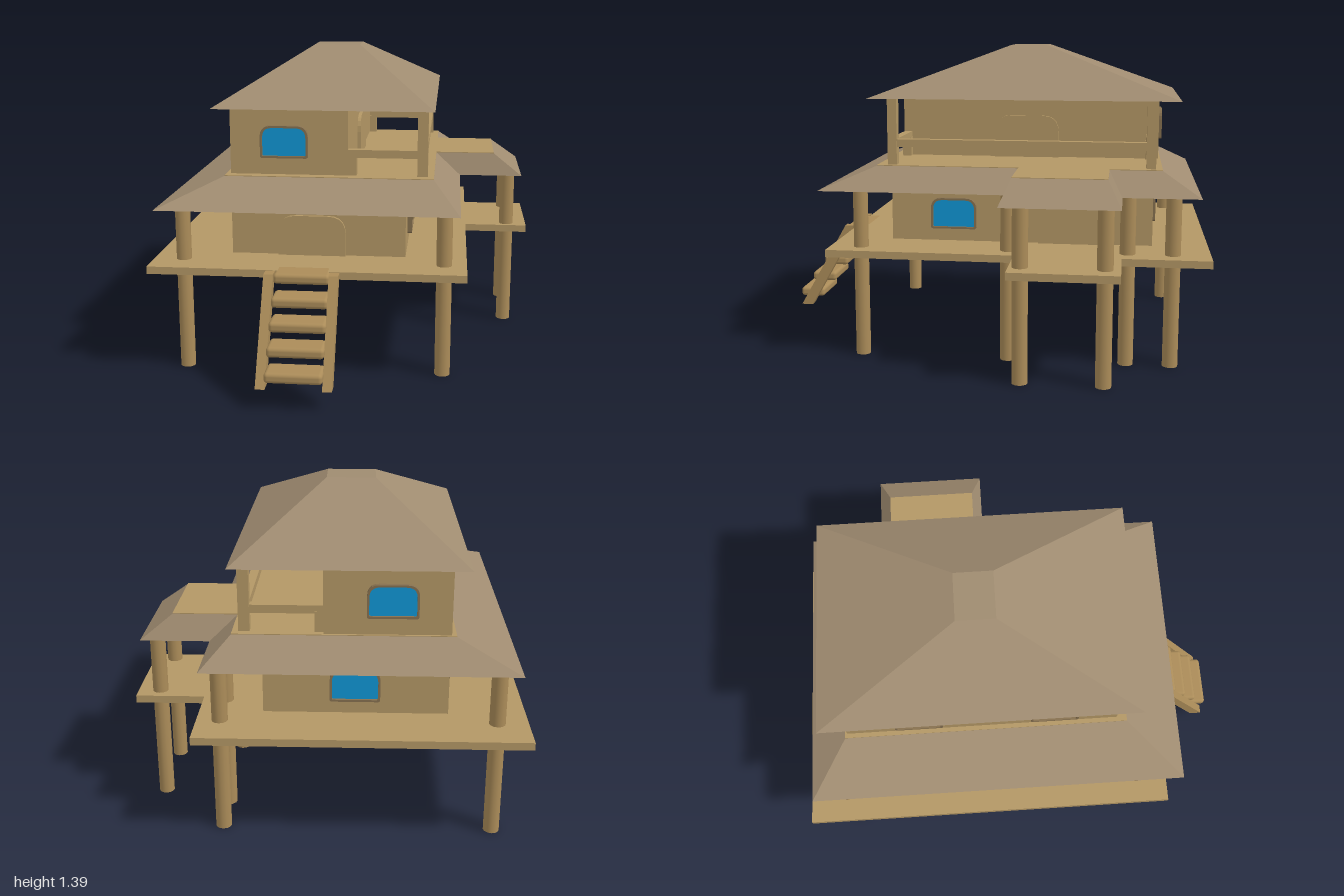
import * as THREE from 'three';
import { RoundedBoxGeometry } from 'three/addons/geometries/RoundedBoxGeometry.js';

const mat = (name, color, extra = {}) => {
  const m = new THREE.MeshStandardMaterial({ color, ...extra });
  m.name = name;
  return m;
};

export function createModel() {
  const wood = mat('wallWood', 0xb39765);
  const log = mat('logWood', 0xab8c59);
  const thatch = mat('roofThatch', 0x9f8b70, { flatShading: true });
  const trim = mat('windowTrim', 0x86704f);
  const glass = mat('windowGlass', 0x1095d4);

  const model = new THREE.Group();
  model.name = 'stiltHouse';

  const add = (name, geometry, material, parent = model) => {
    const m = new THREE.Mesh(geometry, material);
    m.name = name;
    parent.add(m);
    return m;
  };
  // Box from its limits on each axis
  const box = (name, x0, x1, y0, y1, z0, z1, material = wood) => {
    const m = add(name, new THREE.BoxGeometry(x1 - x0, y1 - y0, z1 - z0), material);
    m.position.set((x0 + x1) / 2, (y0 + y1) / 2, (z0 + z1) / 2);
    return m;
  };

  // Hipped roof: lower rectangle rising to a smaller upper one, [x0, x1, z0, z1]
  const hipRoof = (name, low, y0, high, y1) => {
    const ring = ([x0, x1, z0, z1], y) => [[x0, y, z1], [x1, y, z1], [x1, y, z0], [x0, y, z0]];
    const a = ring(low, y0), b = ring(high, y1), pos = [];
    const quad = (p, q, r, s) => [p, q, r, p, r, s].forEach(v => pos.push(...v));
    for (let i = 0; i < 4; i++) {
      const j = (i + 1) % 4;
      quad(a[i], a[j], b[j], b[i]);
    }
    quad(...b);
    quad(a[3], a[2], a[1], a[0]);
    const g = new THREE.BufferGeometry();
    g.setAttribute('position', new THREE.Float32BufferAttribute(pos, 3));
    g.computeVertexNormals();
    return add(name, g, thatch);
  };

  // Outline with rounded upper corners, base centred on the origin
  const archShape = (w, h, r, rb, C = THREE.Shape) => {
    const s = new C(), x = w / 2;
    s.moveTo(-x + rb, 0);
    s.lineTo(x - rb, 0);
    s.quadraticCurveTo(x, 0, x, rb);
    s.lineTo(x, h - r);
    s.quadraticCurveTo(x, h, x - r, h);
    s.lineTo(-x + r, h);
    s.quadraticCurveTo(-x, h, -x, h - r);
    s.lineTo(-x, rb);
    s.quadraticCurveTo(-x, 0, -x + rb, 0);
    return s;
  };
  const extrude = (shape, depth) =>
    new THREE.ExtrudeGeometry(shape, { depth, bevelEnabled: false, curveSegments: 5 });

  // Framed window; turn is the wall's heading about y
  const addWindow = (name, x, y, z, turn) => {
    const g = new THREE.Group();
    g.name = name;
    g.position.set(x, y, z);
    g.rotation.y = turn;
    const outer = archShape(0.21, 0.142, 0.05, 0.01);
    const hole = archShape(0.192, 0.124, 0.044, 0.006, THREE.Path);
    outer.holes.push(new THREE.Path(hole.getPoints(5).map(p => p.setY(p.y + 0.009))));
    add('windowFrame', extrude(outer, 0.02), trim, g);
    add('windowPane', extrude(archShape(0.196, 0.128, 0.044, 0.006), 0.009), glass, g)
      .position.y = 0.007;
    model.add(g);
  };
  const addDoor = (name, w, h, x, y, z, turn) => {
    const d = add(name, extrude(archShape(w, h, 0.08, 0.001), 0.015), wood);
    d.position.set(x, y, z);
    d.rotation.y = turn;
  };
  const RIGHT = Math.PI / 2, LEFT = -Math.PI / 2, BACK = Math.PI;

  // Deck and side landing
  box('deck', -0.835, 0.535, 0.467, 0.5, -1, 0.69);
  box('sideLanding', 0.535, 0.833, 0.467, 0.5, -0.615, -0.15);

  // Stilts
  const stilts = [[-0.705, 0.55], [0.437, 0.55], [0.437, -0.115], [0.737, -0.2],
    [0.737, -0.55], [0.437, -0.64], [0.437, -0.835], [-0.705, -0.835]];
  for (const [x, z] of stilts)
    add('stilt', new THREE.CylinderGeometry(0.034, 0.034, 0.77, 12), log).position.set(x, 0.385, z);

  // Ground storey
  box('lowerWalls', -0.51, 0.265, 0.5, 0.85, -0.75, 0.445);
  addDoor('frontDoor', 0.3, 0.18, -0.15, 0.5, 0.445, 0);
  addDoor('sideDoor', 0.3, 0.18, 0.265, 0.5, -0.385, RIGHT);
  addWindow('lowerRightWindow', 0.265, 0.558, 0.155, RIGHT);
  addWindow('lowerBackWindow', -0.12, 0.558, -0.75, BACK);

  // Lower roof with the landing's wing
  hipRoof('lowerRoof', [-0.785, 0.502, -0.95, 0.73], 0.758, [-0.53, 0.385, -0.785, 0.485], 0.86);
  hipRoof('landingRoof', [0.38, 0.8, -0.613, -0.113], 0.758, [0.38, 0.665, -0.555, -0.155], 0.86);
  box('balconyFloor', -0.53, 0.385, 0.857, 0.863, -0.785, 0.485);
  box('landingRoofTop', 0.385, 0.665, 0.857, 0.863, -0.555, -0.155);

  // Upper storey
  box('upperWalls', -0.51, 0.01, 0.86, 1.165, -0.775, 0.44);
  addDoor('balconyDoor', 0.305, 0.197, 0.01, 0.863, -0.155, RIGHT);
  addWindow('upperFrontWindow', -0.27, 0.938, 0.44, 0);
  addWindow('upperBackWindow', -0.27, 0.938, -0.775, BACK);
  for (const z of [-0.445, 0.155]) {
    addWindow('upperLeftWindow', -0.51, 0.938, z, LEFT);
    addWindow('lowerLeftWindow', -0.51, 0.558, z, LEFT);
  }

  // Balcony posts and rails
  for (const z of [0.42, -0.735]) {
    box('balconyPost', 0.312, 0.358, 0.86, 1.165, z - 0.021, z + 0.021);
    box('balconyEndRail', 0.01, 0.312, 0.942, 0.977, z - 0.018, z + 0.018);
    box('shortPost', 0.01, 0.047, 0.86, 0.95, z - 0.02, z + 0.02);
  }
  box('balconySideRail', 0.316, 0.354, 0.942, 0.977, -0.714, 0.4);

  // Upper roof
  hipRoof('upperRoof', [-0.577, 0.387, -0.86, 0.528], 1.16, [-0.2, 0.015, -0.25, -0.078], 1.39);

  // Stairs: two slanted rails and five treads
  const side = new THREE.Shape([[0.695, 0.5], [0.75, 0.5], [0.985, 0.088], [0.93, 0.088]]
    .map(([z, y]) => new THREE.Vector2(-z, y)));
  for (const x of [-0.315, -0.04]) {
    const r = add('stairRail', extrude(side, 0.04), log);
    r.rotation.y = RIGHT;
    r.position.x = x;
  }
  for (let i = 0; i < 5; i++)
    add('stairTread', new RoundedBoxGeometry(0.24, 0.045, 0.12, 3, 0.016), log)
      .position.set(-0.157, 0.142 + i * 0.084, 0.94 - i * 0.0635);

  return model;
}
